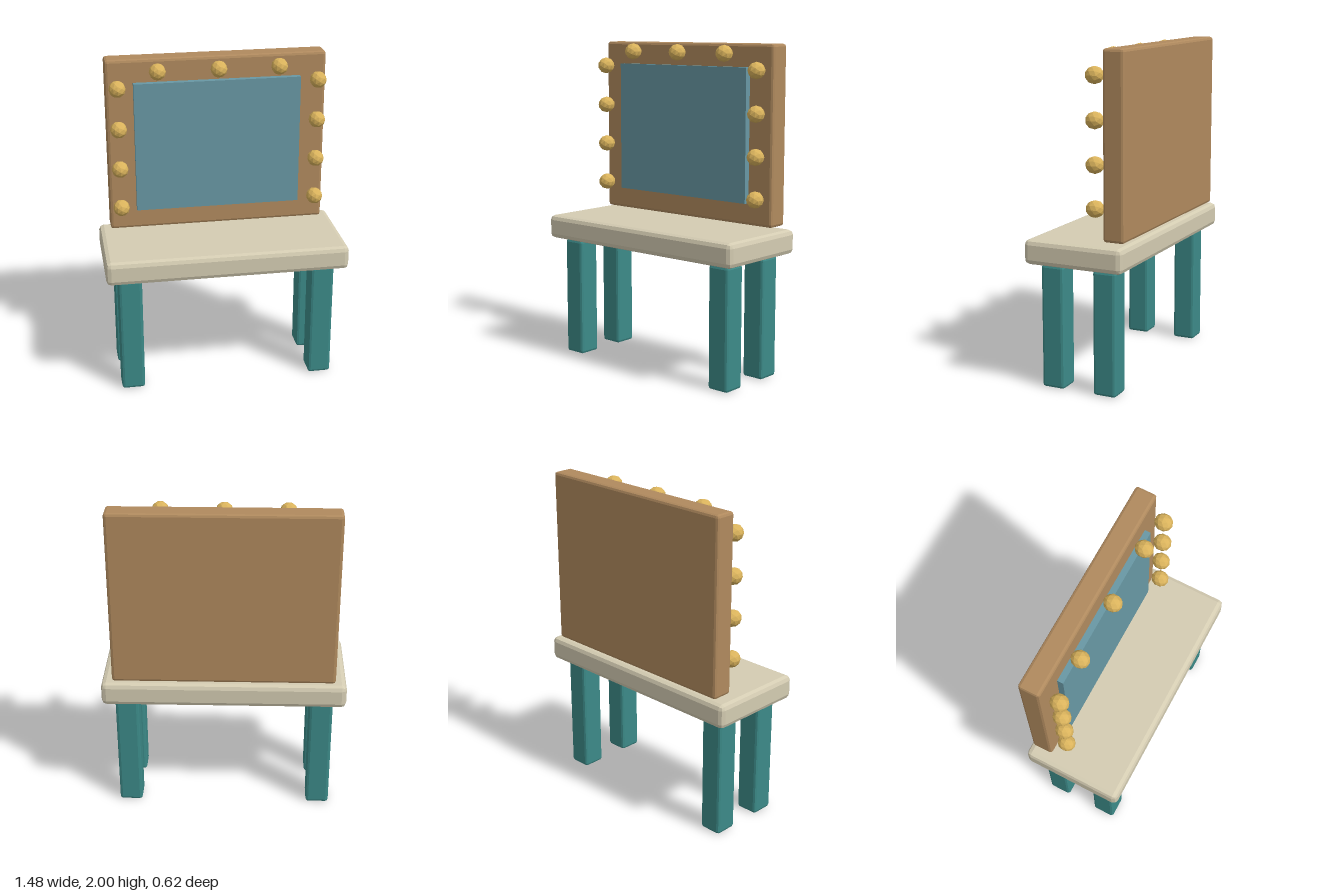
import * as THREE from 'three';
import { ConvexGeometry } from 'three/addons/geometries/ConvexGeometry.js';

const material = (color) => new THREE.MeshStandardMaterial({ color, flatShading: true });
const wood = material(0xb08a5e);
const cream = material(0xd4ccb2);
const teal = material(0x3c8a88);
const glass = material(0x6898a4);
const gold = material(0xdab35c);

// Box with softened edges: the hull of a coarse ball octant at each corner
function softBox(name, mat, size, position, bevel) {
  const points = [];
  for (let corner = 0; corner < 8; corner++) {
    const sign = new THREE.Vector3(corner & 1 ? 1 : -1, corner & 2 ? 1 : -1, corner & 4 ? 1 : -1);
    for (let d = 1; d < 8; d++) {
      const dir = new THREE.Vector3(d & 1 ? 1 : 0, d & 2 ? 1 : 0, d & 4 ? 1 : 0).normalize();
      points.push(new THREE.Vector3(...size).multiplyScalar(0.5).subScalar(bevel)
        .addScaledVector(dir, bevel).multiply(sign));
    }
  }
  const mesh = new THREE.Mesh(new ConvexGeometry(points), mat);
  mesh.name = name;
  mesh.position.set(...position);
  return mesh;
}

export function createModel() {
  const model = new THREE.Group();
  model.name = 'vanityTable';

  // Table top and its four legs
  model.add(softBox('tableTop', cream, [1.482, 0.148, 0.622], [0, 0.828, 0], 0.03));
  for (const [side, sx] of [['left', 1], ['right', -1]]) {
    for (const [end, sz] of [['Front', 1], ['Back', -1]]) {
      model.add(softBox(`${side}${end}Leg`, teal, [0.143, 0.746, 0.143],
        [sx * 0.595, 0.373, sz * 0.167], 0.017));
    }
  }

  // Mirror board and glass
  model.add(softBox('mirrorBoard', wood, [1.344, 1.082, 0.132], [0, 1.459, -0.231], 0.017));
  const mirror = new THREE.Mesh(new THREE.BoxGeometry(1.016, 0.808, 0.037), glass);
  mirror.name = 'mirrorGlass';
  mirror.position.set(0, 1.458, -0.138);
  model.add(mirror);

  // Light bulbs up both sides and along the top
  const bulbs = new THREE.Group();
  bulbs.name = 'bulbs';
  const bulbGeometry = new THREE.IcosahedronGeometry(1, 1).scale(0.051, 0.051, 0.056);
  const addBulb = (x, y) => {
    const bulb = new THREE.Mesh(bulbGeometry, gold);
    bulb.name = 'bulb';
    bulb.position.set(x, y, -0.088);
    bulbs.add(bulb);
  };
  for (let i = 0; i < 4; i++) {
    for (const sx of [-1, 1]) addBulb(sx * 0.607, 1.092 + i * 0.252);
  }
  for (const x of [-0.367, 0, 0.367]) addBulb(x, 1.942);
  model.add(bulbs);

  return model;
}
